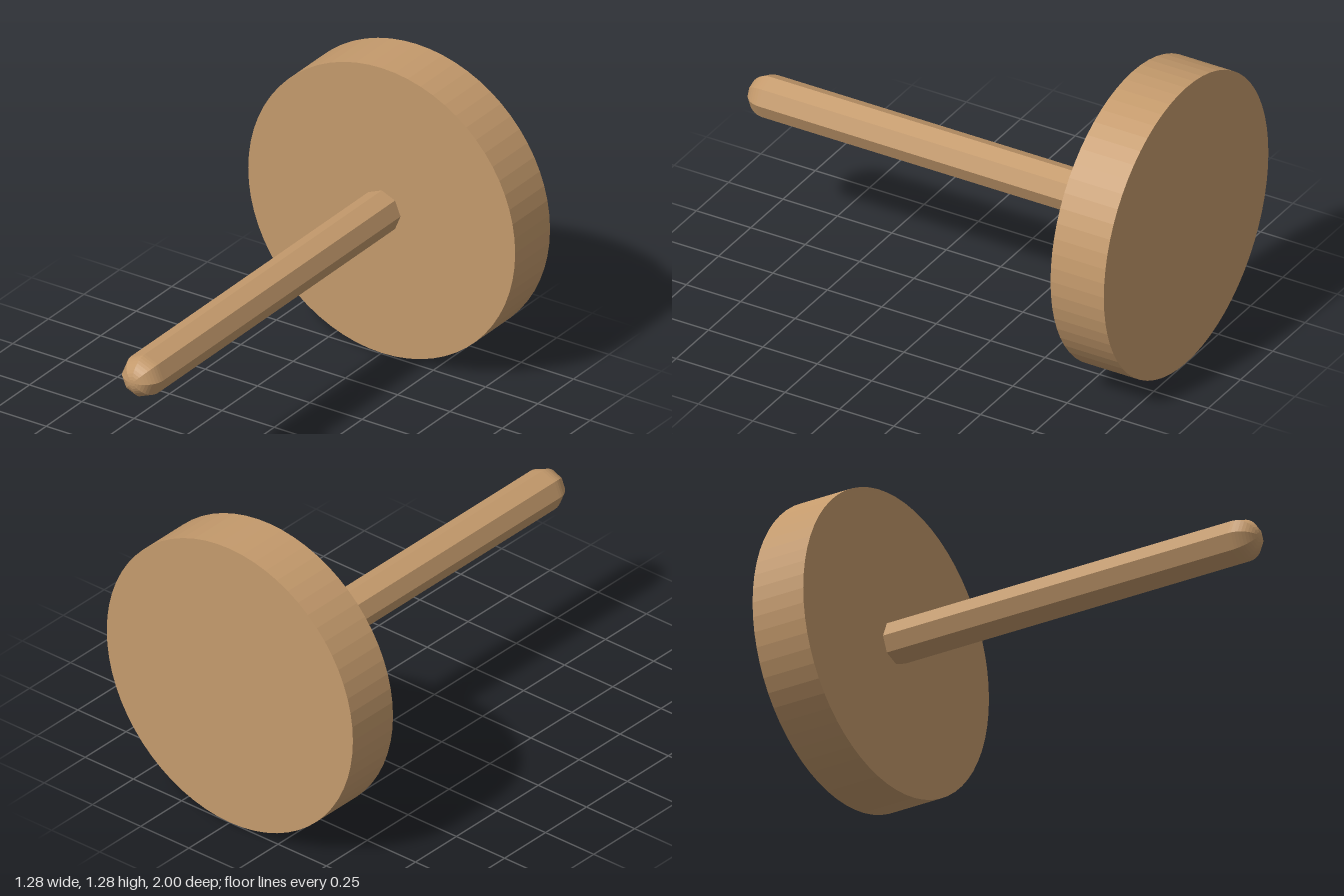
import * as THREE from 'three';

export function createModel() {
  const group = new THREE.Group();
  const wood = new THREE.MeshStandardMaterial({ color: 0xc49a6c, flatShading: true });
  wood.name = 'wood';

  const discRadius = 0.638, discDepth = 0.245, rodRadius = 0.09;

  // Round disc standing upright at the back
  const discGeometry = new THREE.CylinderGeometry(discRadius, discRadius, discDepth, 64);
  discGeometry.rotateX(Math.PI / 2);
  const disc = new THREE.Mesh(discGeometry, wood);
  disc.name = 'disc';
  disc.position.set(0, discRadius, -1 + discDepth / 2);
  group.add(disc);

  // Eight-sided rod with a domed tip, profile runs from the disc to the tip
  const profile = [new THREE.Vector2(rodRadius, -1 + discDepth - 0.01)];
  const rings = 10;
  for (let i = 0; i <= rings; i++) {
    const a = (i / rings) * Math.PI / 2;
    const r = i === rings ? 0 : rodRadius * Math.cos(a);
    profile.push(new THREE.Vector2(r, 1 - rodRadius + rodRadius * Math.sin(a)));
  }
  const rodGeometry = new THREE.LatheGeometry(profile, 8);
  rodGeometry.rotateX(Math.PI / 2);
  const rod = new THREE.Mesh(rodGeometry, wood);
  rod.name = 'rod';
  rod.position.y = discRadius;
  group.add(rod);

  return group;
}
